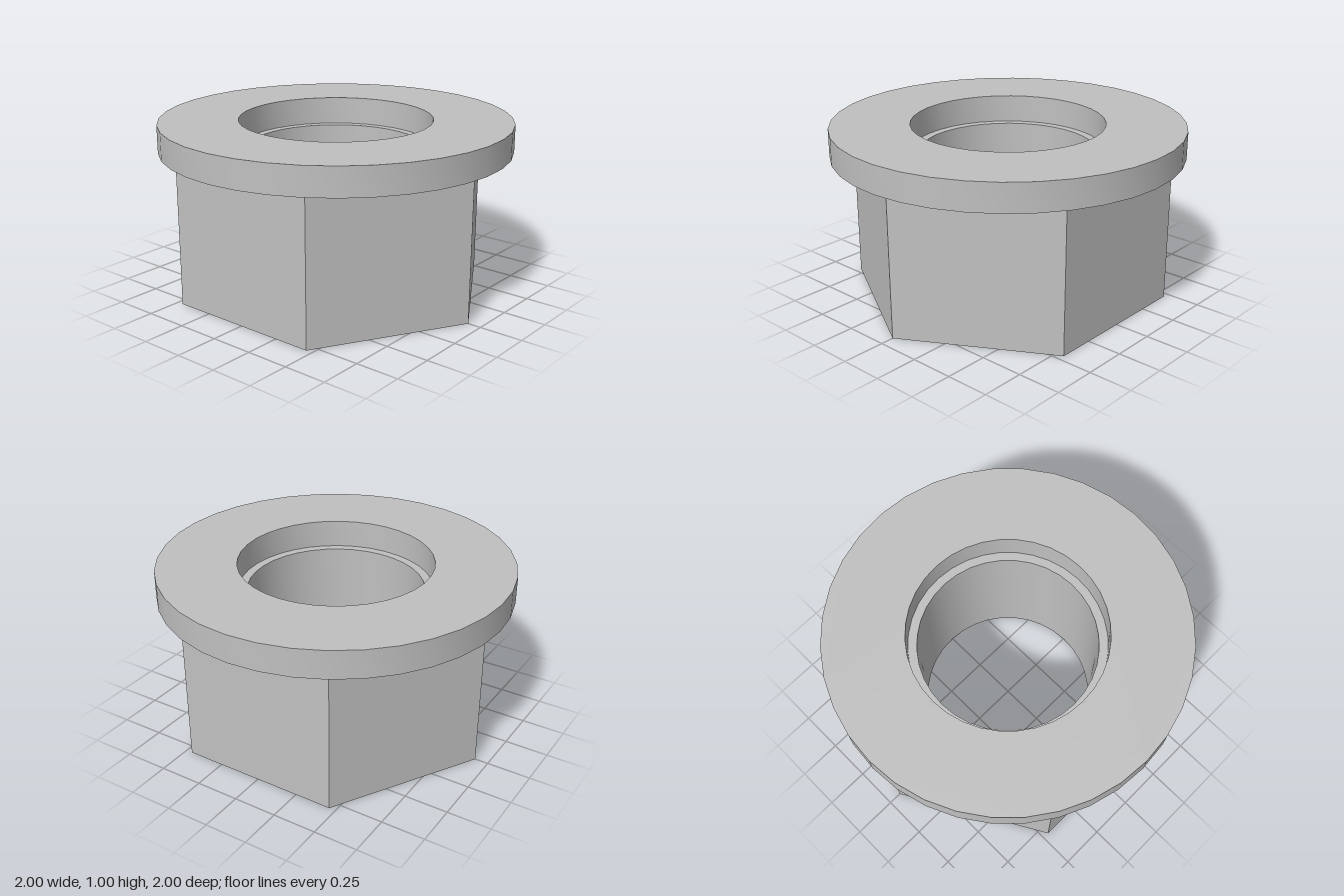
import * as THREE from 'three';
import { toCreasedNormals } from 'three/addons/utils/BufferGeometryUtils.js';

const SIDES = 36;          // facets of every round edge
const FLANGE_Y = 0.84;     // underside of the flange
const TOP_Y = 1;

// Corner points of a regular polygon
function polygon(radius, sides, start = 0) {
  return Array.from({ length: sides }, (_, i) => {
    const a = start + (i / sides) * Math.PI * 2;
    return new THREE.Vector2(radius * Math.cos(a), radius * Math.sin(a));
  });
}

// Upright prism with a round bore; curved walls smooth, edges sharp
function boredPrism(name, outline, boreRadius, bottom, top, material) {
  const shape = new THREE.Shape(outline);
  shape.holes.push(new THREE.Path(polygon(boreRadius, SIDES)));
  const prism = new THREE.ExtrudeGeometry(shape, { depth: top - bottom, bevelEnabled: false });
  prism.rotateX(-Math.PI / 2).translate(0, bottom, 0);
  const mesh = new THREE.Mesh(toCreasedNormals(prism, Math.PI / 6), material);
  mesh.name = name;
  return mesh;
}

export function createModel() {
  const steel = new THREE.MeshStandardMaterial({ color: 0xc0c0c0 });
  steel.name = 'steel grey';

  const group = new THREE.Group();
  group.name = 'flangedHexNut';

  // Hexagonal body, 1.6 across flats, corners pointing to front and back
  const cornerRadius = 0.8 / Math.cos(Math.PI / 6);
  group.add(boredPrism('hexBody', polygon(cornerRadius, 6, Math.PI / 2), 0.5, 0, FLANGE_Y, steel));

  // Round flange with a wider bore, leaving a narrow ledge inside
  group.add(boredPrism('flange', polygon(1, SIDES), 0.55, FLANGE_Y, TOP_Y, steel));

  return group;
}
